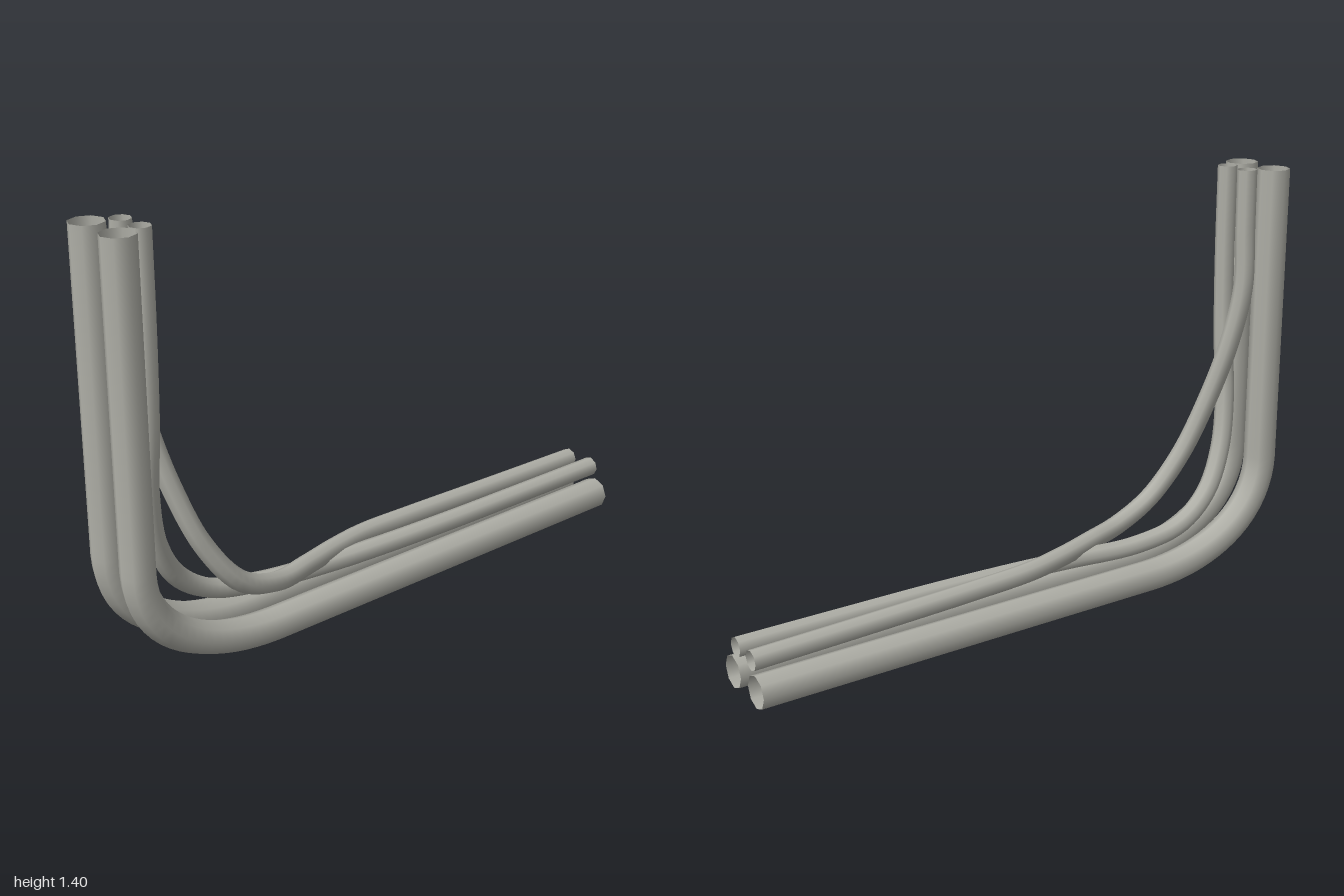
import * as THREE from 'three';

const V = (x, y, z) => new THREE.Vector3(x, y, z);

export function createModel() {
  const group = new THREE.Group();
  const pipeGrey = new THREE.MeshStandardMaterial({ color: 0xb0b0a8, side: THREE.DoubleSide });
  pipeGrey.name = 'pipe grey';

  // open-ended eight-sided pipe swept along a curve
  function addPipe(name, curve, radius, segments) {
    const mesh = new THREE.Mesh(new THREE.TubeGeometry(curve, segments, radius, 8, false), pipeGrey);
    mesh.name = name;
    group.add(mesh);
  }

  // two thick pipes: straight riser, swept elbow, straight run
  for (const [name, z] of [['thickPipeFront', 0.077], ['thickPipeBack', -0.079]]) {
    const path = new THREE.CurvePath();
    path.add(new THREE.LineCurve3(V(-0.946, 1.4, z), V(-0.946, 0.4, z)));
    path.add(new THREE.CubicBezierCurve3(
      V(-0.946, 0.4, z), V(-0.946, 0.19, z), V(-0.75, 0.055, z), V(-0.45, 0.055, z)));
    path.add(new THREE.LineCurve3(V(-0.45, 0.055, z), V(1, 0.055, z)));
    addPipe(name, path, 0.054, 90);
  }

  // thin pipe that swings to the front at the elbow, then returns to the back
  addPipe('thinPipeOuter', new THREE.CatmullRomCurve3([
    V(-0.86, 1.4, -0.046), V(-0.86, 1.2, -0.049), V(-0.858, 1.0, -0.053),
    V(-0.83, 0.8, -0.025), V(-0.785, 0.6, 0.022), V(-0.71, 0.4, 0.067),
    V(-0.6, 0.256, 0.093), V(-0.45, 0.195, 0.075), V(-0.3, 0.184, 0.033),
    V(-0.15, 0.178, -0.01), V(0, 0.173, -0.04), V(0.2, 0.167, -0.048),
    V(0.6, 0.157, -0.052), V(1, 0.149, -0.055),
  ]), 0.033, 100);

  // thin pipe that crosses beneath it in the opposite direction
  addPipe('thinPipeInner', new THREE.CatmullRomCurve3([
    V(-0.86, 1.4, 0.051), V(-0.86, 1.1, 0.049), V(-0.86, 0.8, 0.038),
    V(-0.858, 0.6, 0.017), V(-0.825, 0.42, -0.007), V(-0.75, 0.28, -0.028),
    V(-0.63, 0.19, -0.036), V(-0.45, 0.152, -0.025), V(-0.2, 0.147, 0.01),
    V(0, 0.148, 0.029), V(0.3, 0.149, 0.043), V(0.65, 0.149, 0.047), V(1, 0.149, 0.049),
  ]), 0.033, 100);

  return group;
}
